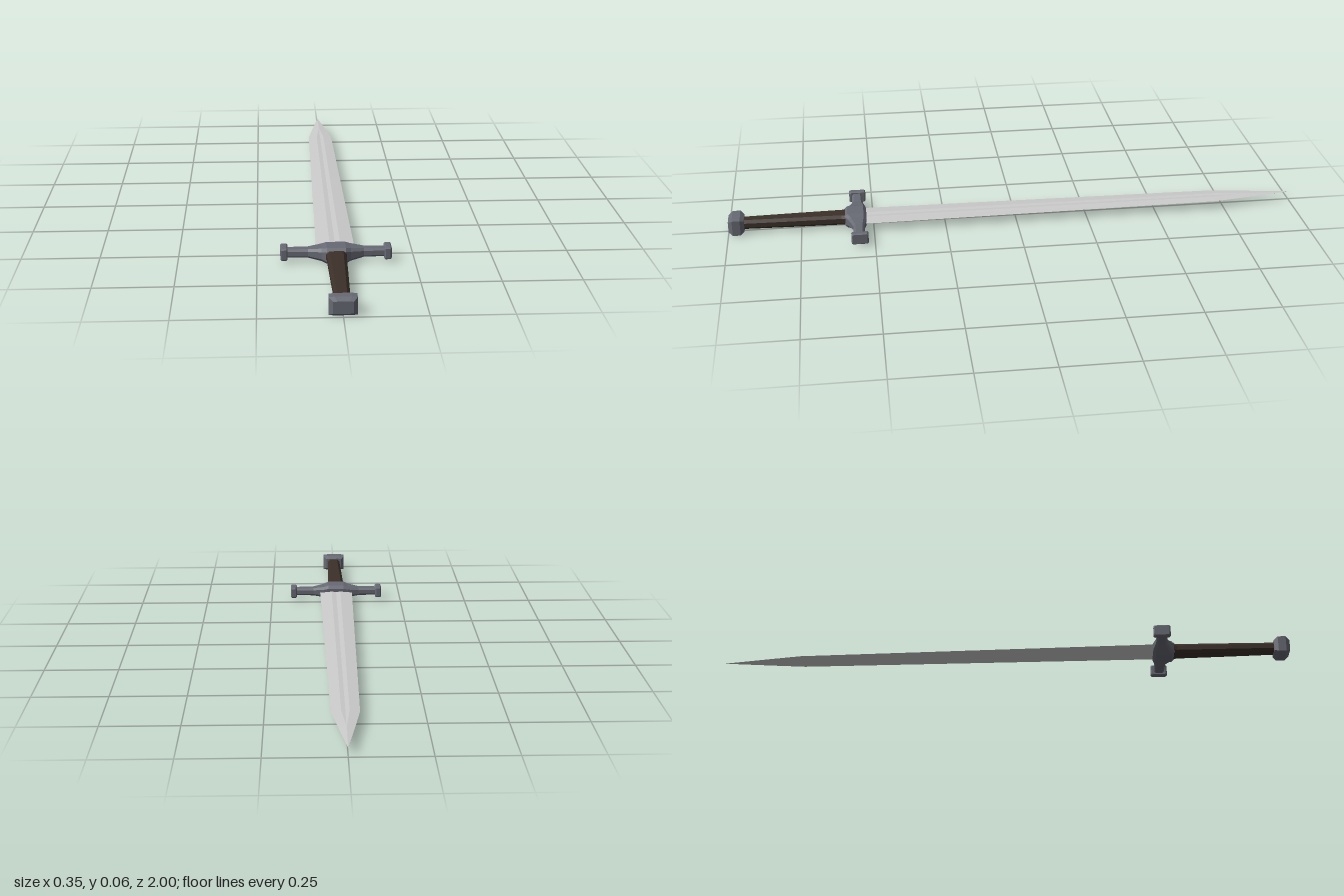
import * as THREE from 'three';

const MID = 0.0315; // height of the sword's centre plane

// Skins a list of { t, ring } sections; ring points run counter-clockwise around the axis.
function loft(sections, axis) {
  const at = (s, i) => {
    const [u, v] = s.ring[i % s.ring.length];
    return axis === 'x' ? [s.t, u, v] : [u, v, s.t];
  };
  const n = sections[0].ring.length;
  const pos = [];
  const tri = (...points) => points.forEach((p) => pos.push(...p));
  for (let k = 0; k < sections.length - 1; k++) {
    const a = sections[k], b = sections[k + 1];
    for (let i = 0; i < n; i++) {
      tri(at(a, i), at(a, i + 1), at(b, i + 1));
      tri(at(a, i), at(b, i + 1), at(b, i));
    }
  }
  const first = sections[0], last = sections[sections.length - 1];
  for (let i = 1; i < n - 1; i++) {
    tri(at(first, 0), at(first, i + 1), at(first, i));
    tri(at(last, 0), at(last, i), at(last, i + 1));
  }
  const geometry = new THREE.BufferGeometry();
  geometry.setAttribute('position', new THREE.Float32BufferAttribute(pos, 3));
  geometry.computeVertexNormals();
  return geometry;
}

// Rectangle with cut corners, half sizes a and b, centred on (cu, cv)
function octagon(a, b, cut, cu = 0, cv = 0) {
  const p = a - cut, q = b - cut;
  return [[a, -q], [a, q], [p, b], [-p, b], [-a, q], [-a, -q], [-p, -b], [p, -b]]
    .map(([u, v]) => [u + cu, v + cv]);
}

// Flattened blade section with a shallow central groove
function bladeRing(w, f, h, d) {
  return [[w, 0], [f, h], [0, h - d], [-f, h], [-w, 0], [-f, -h], [0, d - h], [f, -h]];
}

export function createModel() {
  const sword = new THREE.Group();
  sword.name = 'sword';
  const material = (color) => new THREE.MeshStandardMaterial({ color, flatShading: true });
  const steel = material(0xcccccc);
  const iron = material(0x686a74);
  const leather = material(0x3c3029);

  const add = (name, sections, axis, mat) => {
    const mesh = new THREE.Mesh(loft(sections, axis), mat);
    mesh.name = name;
    mesh.position.y = MID;
    sword.add(mesh);
  };

  // Blade, tip to guard: [z, half width, groove half width, half thickness, groove depth]
  const blade = [
    [-1, 0.0004, 0.0002, 0.0002, 0],
    [-0.84, 0.0265, 0.001, 0.003, 0],
    [-0.72, 0.045, 0.013, 0.0036, 0.0015],
    [0.54, 0.062, 0.017, 0.005, 0.002],
  ];
  add('blade', blade.map(([t, ...r]) => ({ t, ring: bladeRing(...r) })), 'z', steel);

  // Crossguard, centre to arm: [x, half height, back z, front z, corner cut]
  const half = [
    [0.03, 0.026, 0.524, 0.6, 0.01],
    [0.046, 0.021, 0.525, 0.589, 0.009],
    [0.088, 0.0145, 0.533, 0.572, 0.007],
    [0.158, 0.0135, 0.535, 0.569, 0.006],
  ];
  const mirrored = [...half.map(([x, ...r]) => [-x, ...r]).reverse(), ...half];
  add('crossguard', mirrored.map(([t, h, z0, z1, cut]) => (
    { t, ring: octagon(h, (z1 - z0) / 2, cut, 0, (z0 + z1) / 2) })), 'x', iron);

  // Bevelled caps at both ends of the crossguard
  const cap = [[0.153, 0.017, 0.025], [0.157, 0.02, 0.029], [0.172, 0.02, 0.029], [0.176, 0.017, 0.025]];
  for (const side of [1, -1]) {
    const rows = cap.map(([x, h, d]) => ({ t: side * x, ring: octagon(h, d, 0.004, 0, 0.551) }));
    add(side > 0 ? 'leftGuardCap' : 'rightGuardCap', side > 0 ? rows : rows.reverse(), 'x', iron);
  }

  // Eight-sided grip, flared at the guard and narrowing to the pommel
  const grip = [[0.58, 0.036, 0.019], [0.61, 0.031, 0.018], [0.8, 0.027, 0.0175], [0.955, 0.023, 0.017]];
  add('grip', grip.map(([t, w, h]) => ({ t, ring: octagon(w, h, 0.0095) })), 'z', leather);

  // Pommel block with bevelled ends and slightly bowed top and bottom
  const pommel = [[0.945, 0.031, 0.019], [0.958, 0.042, 0.0275], [0.985, 0.042, 0.0275], [0.999, 0.03, 0.018]];
  add('pommel', pommel.map(([t, w, h]) => ({
    t,
    ring: [[w, -h], [w, h], [w * 0.6, h * 1.07], [-w * 0.6, h * 1.07],
      [-w, h], [-w, -h], [-w * 0.6, -h * 1.07], [w * 0.6, -h * 1.07]],
  })), 'z', iron);

  return sword;
}
